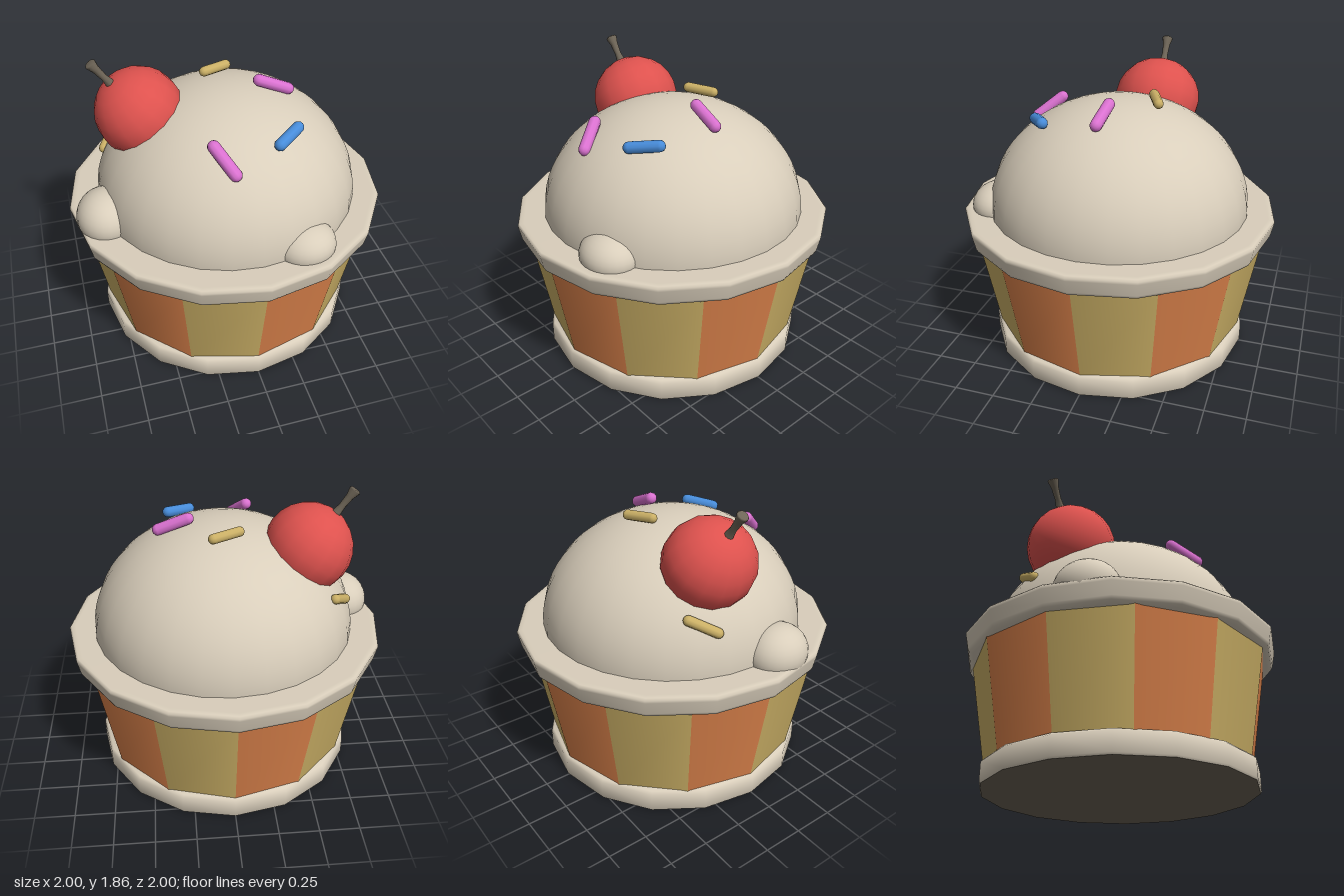
import * as THREE from 'three';
import { toCreasedNormals } from 'three/addons/utils/BufferGeometryUtils.js';

const mat = (name, color) => {
  const m = new THREE.MeshStandardMaterial({ color });
  m.name = name;
  return m;
};

export function createModel() {
  const cream = mat('cream', 0xd9cebb);
  const orange = mat('orange', 0xdb824b);
  const mustard = mat('mustard', 0xcbb066);
  const red = mat('cherryRed', 0xde524e);
  const pink = mat('pink', 0xdb72d1);
  const blue = mat('blue', 0x488ddb);
  const brown = mat('darkBrown', 0x6e6557);

  const model = new THREE.Group();
  model.name = 'cupcake';
  const add = (name, geometry, material, parent = model) => {
    const mesh = new THREE.Mesh(geometry, material);
    mesh.name = name;
    parent.add(mesh);
    return mesh;
  };
  const lathe = (points, sides) => new THREE.LatheGeometry(
    points.map(([r, y]) => new THREE.Vector2(r, y)), sides);

  // Sixteen-sided base with a dark underside
  add('base', toCreasedNormals(lathe(
    [[0.838, 0], [0.845, 0.012], [0.845, 0.125], [0.83, 0.14], [0, 0.14]], 16), 0.9), cream);
  add('baseUnderside', new THREE.CircleGeometry(0.838, 16).rotateX(Math.PI / 2), brown);

  // Sixteen-sided rim with softly rounded edges
  add('rim', lathe([[0.88, 0.79], [0.945, 0.79], [0.97, 0.8], [0.98, 0.82], [0.997, 0.9],
    [1, 0.918], [0.988, 0.93], [0.96, 0.931], [0, 0.931]], 16), cream);

  // Tapered cup made of twelve panels in alternating colours
  const cup = new THREE.Group();
  cup.name = 'cup';
  model.add(cup);
  const step = Math.PI / 6;
  for (let i = 0; i < 12; i++) {
    const panel = new THREE.CylinderGeometry(0.94, 0.82, 0.67, 1, 1, true, i * step, step);
    add('cupPanel', panel, i % 2 ? mustard : orange, cup).position.y = 0.465;
  }

  // Scoop and the two drips that rest on the rim
  const blob = (name, center, radii, whole) => {
    const g = new THREE.SphereGeometry(1, 28, 16, 0, Math.PI * 2, 0, Math.PI * (whole ? 1 : 0.5));
    const mesh = add(name, g, cream);
    mesh.position.set(...center);
    mesh.scale.set(...radii);
  };
  blob('scoop', [0.01, 0.93, 0], [0.825, 0.7, 0.828], false);
  blob('sideDrip', [-0.79, 0.96, 0.17], [0.18, 0.17, 0.2], true);
  blob('frontDrip', [0.29, 0.95, 0.715], [0.19, 0.14, 0.172], true);

  // Cherry leaning to one side, with a flared stem
  const cherry = new THREE.Group();
  cherry.name = 'cherry';
  cherry.position.set(-0.498, 1.487, -0.11);
  cherry.rotation.z = 0.625;
  model.add(cherry);
  add('cherryFruit', new THREE.SphereGeometry(0.272, 16, 12), red, cherry).scale.z = 1.04;
  add('cherryStem', lathe([[0, 0.2], [0.045, 0.22], [0.027, 0.27], [0.02, 0.32],
    [0.024, 0.39], [0.036, 0.435], [0.03, 0.443], [0, 0.443]], 10), brown, cherry);

  // Sprinkles, each a capsule between two end points
  const up = new THREE.Vector3(0, 1, 0);
  const sprinkle = (material, radius, start, end) => {
    const a = new THREE.Vector3(...start), b = new THREE.Vector3(...end);
    const mesh = add('sprinkle', new THREE.CapsuleGeometry(radius, a.distanceTo(b), 4, 10), material);
    mesh.position.lerpVectors(a, b, 0.5);
    mesh.quaternion.setFromUnitVectors(up, b.sub(a).normalize());
  };
  sprinkle(mustard, 0.031, [-0.07, 1.646, -0.197], [0.085, 1.637, -0.265]);
  sprinkle(pink, 0.037, [0.22, 1.65, 0], [0.4, 1.577, 0.02]);
  sprinkle(blue, 0.036, [0.195, 1.508, 0.485], [0.335, 1.533, 0.38]);
  sprinkle(pink, 0.037, [-0.182, 1.542, 0.45], [-0.095, 1.43, 0.59]);
  sprinkle(mustard, 0.031, [-0.632, 1.26, -0.36], [-0.728, 1.18, -0.225]);

  return model;
}
